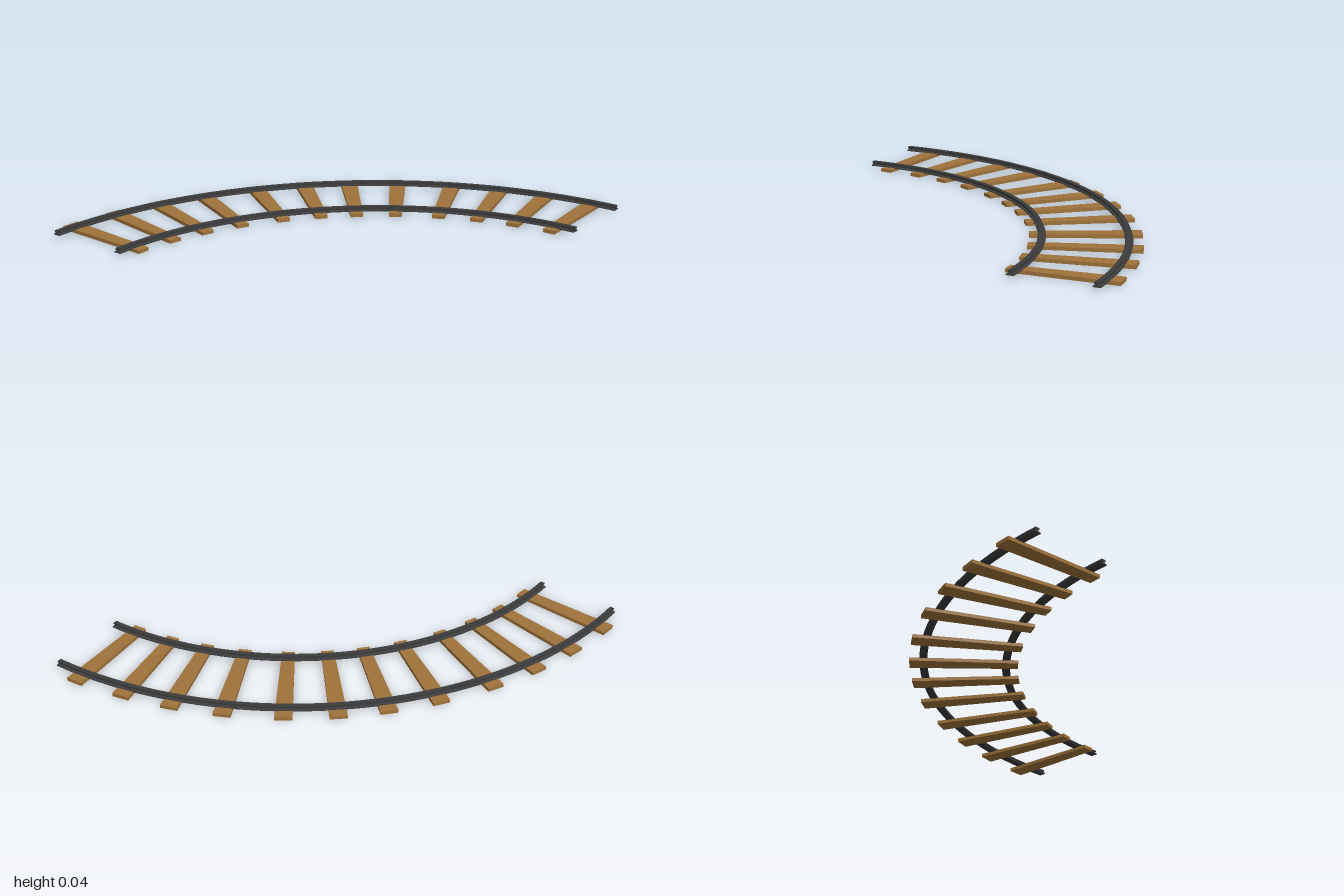
import * as THREE from 'three';
import { toCreasedNormals } from 'three/addons/utils/BufferGeometryUtils.js';

const WOOD = new THREE.MeshStandardMaterial({ color: 0x9f733a });
const STEEL = new THREE.MeshStandardMaterial({ color: 0x3c3c3c, side: THREE.DoubleSide });

// Half of the rail section (half width, height): foot, web and head
const HALF_SECTION = [
  [0.019, 0.015], [0.019, 0.019], [0.006, 0.022],
  [0.006, 0.029], [0.011, 0.031], [0.011, 0.038],
];

// Quarter-circle rail around the curve centre, with capped ends
function makeRail(radius, name) {
  const right = HALF_SECTION.map(([w, y]) => new THREE.Vector2(radius + w, y));
  const left = HALF_SECTION.map(([w, y]) => new THREE.Vector2(radius - w, y)).reverse();
  const outline = [...right, ...left];
  const rail = new THREE.Group();
  rail.name = name;

  const sweep = new THREE.LatheGeometry([...outline, outline[0].clone()], 40, Math.PI, Math.PI / 2);
  const body = new THREE.Mesh(toCreasedNormals(sweep, Math.PI / 8), STEEL);
  body.name = name + 'Body';
  rail.add(body);

  const capGeometry = new THREE.ShapeGeometry(new THREE.Shape(outline));
  for (const turn of [Math.PI / 2, Math.PI]) {
    const cap = new THREE.Mesh(capGeometry, STEEL);
    cap.name = name + 'End';
    cap.rotation.y = turn;
    rail.add(cap);
  }
  return rail;
}

// Wooden sleeper lying along +x, narrowing towards the curve centre
function makeSleeperGeometry() {
  const inner = 1.475, outer = 1.997, height = 0.017;
  const geometry = new THREE.BoxGeometry(outer - inner, height, 1);
  geometry.translate((inner + outer) / 2, height / 2, 0);
  const p = geometry.attributes.position;
  for (let i = 0; i < p.count; i++) p.setZ(i, p.getZ(i) * p.getX(i) * 0.042);
  geometry.computeVertexNormals();
  return geometry;
}

export function createModel() {
  const track = new THREE.Group();
  track.name = 'curvedTrack';

  // Everything is laid out around the centre of the curve
  const curve = new THREE.Group();
  curve.name = 'curve';
  curve.position.set(1, 0, 1);
  track.add(curve);

  curve.add(makeRail(1.93, 'outerRail'), makeRail(1.532, 'innerRail'));

  // Sleepers, mirrored about the middle of the curve
  const sleeper = makeSleeperGeometry();
  for (const degrees of [4.3, 11.7, 18.8, 26.1, 34.3, 41.6]) {
    for (const angle of [degrees, 90 - degrees]) {
      const mesh = new THREE.Mesh(sleeper, WOOD);
      mesh.name = 'sleeper';
      mesh.rotation.y = THREE.MathUtils.degToRad(90 + angle);
      curve.add(mesh);
    }
  }
  return track;
}
